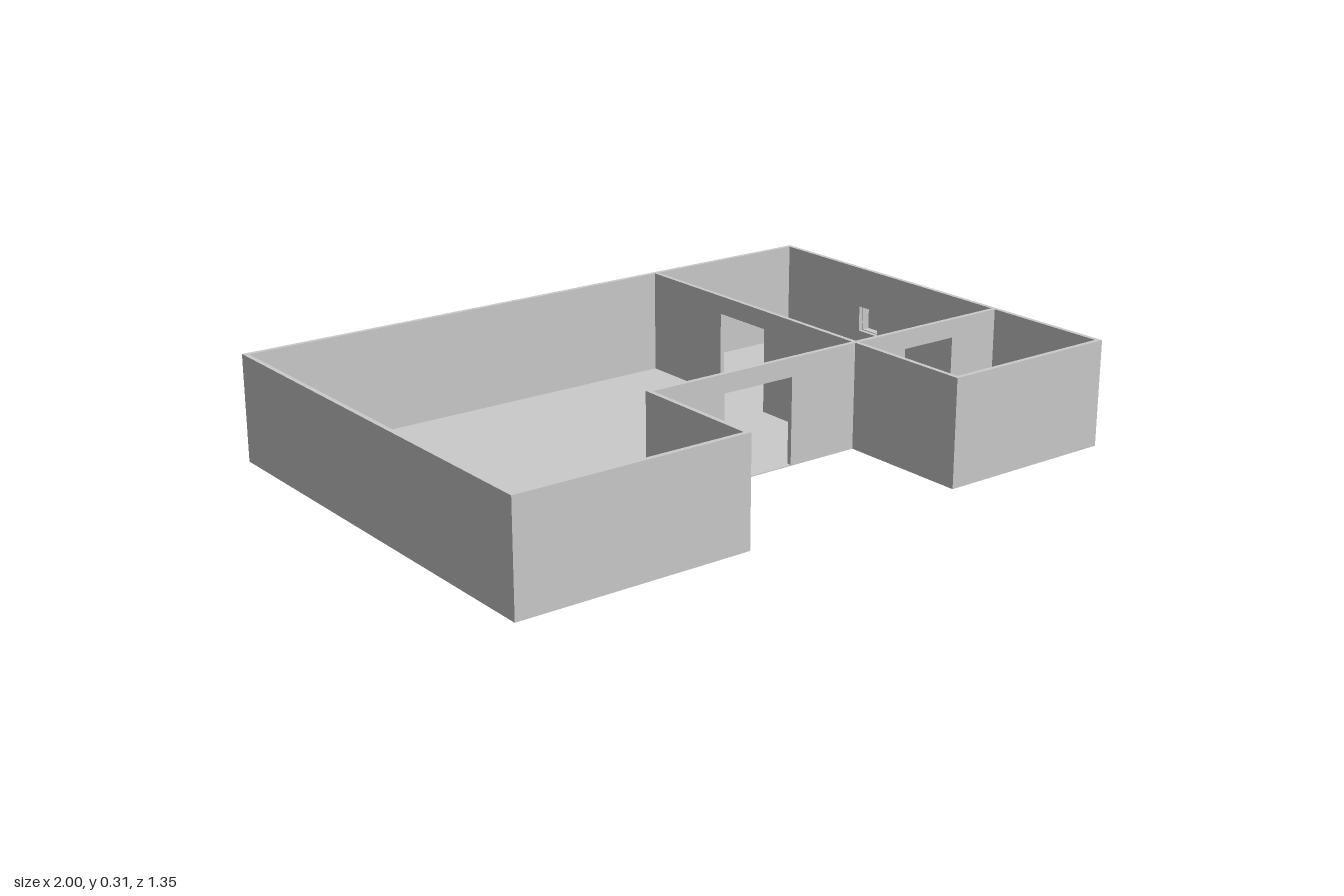
import * as THREE from 'three';

const H = 0.315;      // wall height
const T = 0.014;      // wall thickness
const FLOOR = 0.003;  // floor slab thickness
const DOOR_H = 0.26;
const X0 = -1, X1 = 0.973, Z0 = -0.675, Z1 = 0.675;
const WING_L = -0.298, WING_R = 0.407, NOTCH_Z = 0.272; // recessed entrance court
const WINDOW = { a: -0.315, b: -0.23, y0: 0.11, y1: 0.19 };

const material = new THREE.MeshStandardMaterial({ color: 0xcccccc, flatShading: true });

function add(parent, name, geometry, x = 0, y = 0, z = 0) {
  const mesh = new THREE.Mesh(geometry, material);
  mesh.name = name;
  mesh.position.set(x, y, z);
  parent.add(mesh);
  return mesh;
}

// Wall along 'x' or 'z' from a to b; 'at' is its lowest coordinate on the other axis
function wall(parent, name, axis, a, b, at, { door, hole } = {}) {
  const pts = [[a, 0]];
  if (door) pts.push([door[0], 0], [door[0], DOOR_H], [door[1], DOOR_H], [door[1], 0]);
  pts.push([b, 0], [b, H], [a, H]);
  const shape = new THREE.Shape(pts.map(p => new THREE.Vector2(...p)));
  if (hole) {
    shape.holes.push(new THREE.Path([
      [hole.a, hole.y0], [hole.a, hole.y1], [hole.b, hole.y1], [hole.b, hole.y0],
    ].map(p => new THREE.Vector2(...p))));
  }
  const geometry = new THREE.ExtrudeGeometry(shape, { depth: T, bevelEnabled: false });
  if (axis === 'z') geometry.rotateY(-Math.PI / 2).translate(at + T, 0, 0);
  else geometry.translate(0, 0, at);
  return add(parent, name, geometry);
}

export function createModel() {
  const house = new THREE.Group();
  house.name = 'roofless house';

  // Floor slab: U-shaped plan (shape y becomes z)
  const plan = new THREE.Shape([
    [X0, Z0], [X1, Z0], [X1, Z1], [WING_R, Z1],
    [WING_R, NOTCH_Z], [WING_L, NOTCH_Z], [WING_L, Z1], [X0, Z1],
  ].map(p => new THREE.Vector2(...p)));
  const slab = new THREE.ExtrudeGeometry(plan, { depth: FLOOR, bevelEnabled: false });
  slab.rotateX(Math.PI / 2).translate(0, FLOOR, 0);
  add(house, 'floor', slab);

  // Outer walls
  const outer = new THREE.Group();
  outer.name = 'outer walls';
  house.add(outer);
  wall(outer, 'back wall', 'x', X0, X1, Z0);
  wall(outer, 'right wall', 'z', Z0 + T, Z1, X0);
  wall(outer, 'left wall', 'z', Z0 + T, Z1, X1 - T, { hole: WINDOW });
  wall(outer, 'right wing front wall', 'x', X0 + T, WING_L, Z1 - T);
  wall(outer, 'left wing front wall', 'x', WING_R, X1 - T, Z1 - T);
  wall(outer, 'right wing court wall', 'z', NOTCH_Z - T, Z1 - T, WING_L - T);
  wall(outer, 'entrance wall', 'x', WING_L, WING_R, NOTCH_Z - T, { door: [-0.06, 0.177] });

  // Partitions; the long one also closes the court side of the left wing
  const inner = new THREE.Group();
  inner.name = 'inner walls';
  house.add(inner);
  wall(inner, 'long partition', 'z', Z0 + T, Z1 - T, WING_R, { door: [-0.33, -0.125] });
  wall(inner, 'cross partition', 'x', WING_R + T, X1 - T, NOTCH_Z - T, { door: [0.6, 0.787] });

  // Window niche: a box projecting outwards, open to the room
  const niche = new THREE.Group();
  niche.name = 'window niche';
  house.add(niche);
  const s = 0.002, depth = 1 - X1;
  const { a, b, y0, y1 } = WINDOW;
  const cx = X1 + depth / 2, cy = (y0 + y1) / 2, cz = (a + b) / 2;
  add(niche, 'niche back', new THREE.BoxGeometry(s, y1 - y0, b - a), 1 - s / 2, cy, cz);
  for (const [name, y] of [['niche sill', y0 + s / 2], ['niche top', y1 - s / 2]])
    add(niche, name, new THREE.BoxGeometry(depth, s, b - a), cx, y, cz);
  for (const [name, z] of [['niche back side', a + s / 2], ['niche front side', b - s / 2]])
    add(niche, name, new THREE.BoxGeometry(depth, y1 - y0, s), cx, cy, z);

  // Free-standing post in the main room
  add(house, 'post', new THREE.BoxGeometry(0.036, 0.142, 0.045), 0.021, 0.071, 0.003);

  return house;
}
